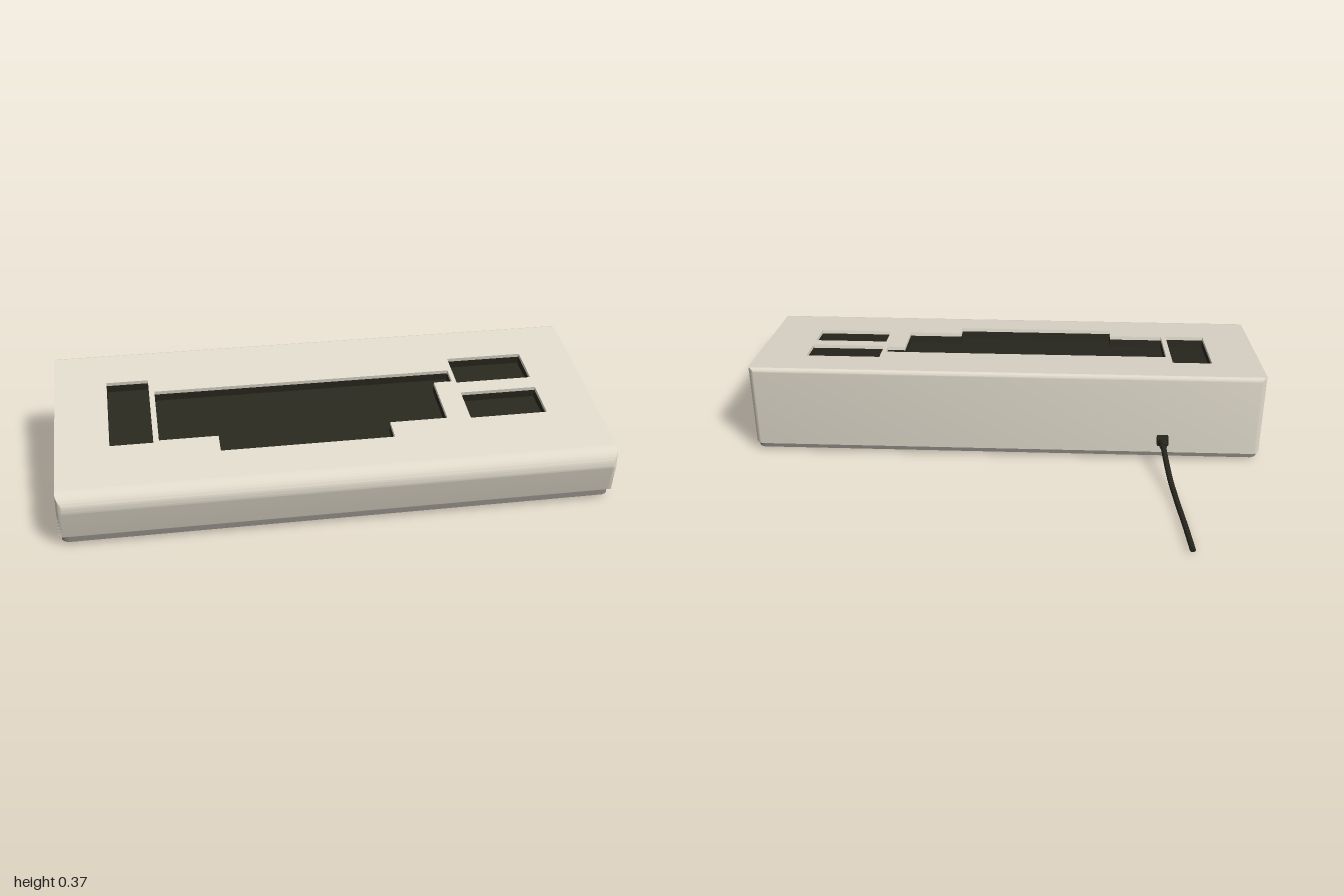
import * as THREE from 'three';
import { toCreasedNormals } from 'three/addons/utils/BufferGeometryUtils.js';

const SLOPE = 0.208, TILT = Math.atan(SLOPE);
const NOSE_Z = 0.632, NOSE_Y = 0.165, NOSE_R = 0.058;
const FRONT = NOSE_Z + NOSE_R, BACK = -0.095, BOTTOM = 0.033, CORNER = 0.03;
const BACK_R = 0.015, BACK_Z = BACK + BACK_R;
const TOP_Z = NOSE_Z + NOSE_R * Math.sin(TILT), TOP_Y = NOSE_Y + NOSE_R * Math.cos(TILT);
const topY = z => TOP_Y + SLOPE * (TOP_Z - z);

function material(name, color) {
  const m = new THREE.MeshStandardMaterial({ color });
  m.name = name;
  return m;
}

// Stations across the width, with the inset of the rounded vertical corners
function stations() {
  const right = [];
  for (let k = 0; k <= 10; k++) {
    const a = (k / 10) * Math.PI / 2;
    right.push({ x: 1 - CORNER + CORNER * Math.sin(a), inset: CORNER * (1 - Math.cos(a)) });
  }
  return [...right.map(s => ({ x: -s.x, inset: s.inset })).reverse(), ...right];
}

// Side profile as [z, y]: round nose, underside, back, up to the sloped top
function profile() {
  const pts = [];
  const a0 = Math.PI / 2 - TILT, a1 = -0.37;
  for (let i = 0; i <= 24; i++) {
    const a = a0 + (a1 - a0) * i / 24;
    pts.push([NOSE_Z + NOSE_R * Math.cos(a), NOSE_Y + NOSE_R * Math.sin(a)]);
  }
  pts.push([0.645, BOTTOM], [BACK, BOTTOM]);
  const cy = topY(BACK_Z) - BACK_R;
  for (let i = 0; i <= 5; i++) {
    const a = Math.PI - (i / 5) * Math.PI / 2;
    pts.push([BACK_Z + BACK_R * Math.cos(a), cy + BACK_R * Math.sin(a)]);
  }
  return pts;
}

// Shell open along the sloped top
function shellGeometry() {
  const base = profile();
  const rows = stations().map(({ x, inset }) => base.map(([z, y]) => {
    const cz = Math.min(Math.max(z, BACK + inset), FRONT - inset);
    return [x, Math.min(y, topY(cz)), cz];
  }));
  const pos = [];
  for (let i = 0; i < rows.length - 1; i++) {
    for (let j = 0; j < base.length - 1; j++) {
      const a = rows[i][j], b = rows[i][j + 1], c = rows[i + 1][j + 1], d = rows[i + 1][j];
      pos.push(...a, ...b, ...c, ...a, ...c, ...d);
    }
  }
  const end = rows[rows.length - 1];
  const faces = THREE.ShapeUtils.triangulateShape(end.map(p => new THREE.Vector2(-p[2], p[1])), []);
  for (const [a, b, c] of faces) {
    pos.push(...end[a], ...end[b], ...end[c]);
    pos.push(...rows[0][a], ...rows[0][c], ...rows[0][b]);
  }
  const g = new THREE.BufferGeometry();
  g.setAttribute('position', new THREE.Float32BufferAttribute(pos, 3));
  return toCreasedNormals(g, 0.5);
}

// Point on the sloped top: x and distance up the slope
const onSlope = ([x, z]) => new THREE.Vector2(x, (TOP_Z - z) / Math.cos(TILT));
const rect = (x0, x1, z0, z1) => [[x0, z0], [x0, z1], [x1, z1], [x1, z0]];

// Key openings as [x, z], all counter-clockwise on the slope
const OPENINGS = [
  rect(-0.808, -0.653, 0.084, 0.44),
  rect(0.512, 0.804, 0.084, 0.232),
  rect(0.512, 0.804, 0.293, 0.44),
  [[-0.633, 0.155], [-0.633, 0.43], [-0.42, 0.43], [-0.42, 0.51], [0.21, 0.51],
    [0.21, 0.43], [0.425, 0.43], [0.425, 0.222], [0.495, 0.222], [0.495, 0.155]],
];

function slopePlate(outline, depth, top, openings = []) {
  const shape = new THREE.Shape(outline.map(onSlope));
  // Holes run opposite to the outline so that their walls face inwards
  shape.holes = openings.map(o => new THREE.Path(o.map(onSlope).reverse()));
  const g = new THREE.ExtrudeGeometry(shape, { depth, bevelEnabled: false });
  g.translate(0, 0, -top - depth);
  g.rotateX(TILT - Math.PI / 2);
  g.translate(0, TOP_Y, TOP_Z);
  return g;
}

function roundedRect(w, h, r) {
  const s = new THREE.Shape(), x = w / 2, y = h / 2;
  s.absarc(x - r, y - r, r, 0, Math.PI / 2);
  s.absarc(-x + r, y - r, r, Math.PI / 2, Math.PI);
  s.absarc(-x + r, -y + r, r, Math.PI, Math.PI * 1.5);
  s.absarc(x - r, -y + r, r, Math.PI * 1.5, Math.PI * 2);
  return s;
}

export function createModel() {
  const model = new THREE.Group();
  model.name = 'keyboardCase';
  const beige = material('beige plastic', 0xe0dacb);
  const grey = material('grey base', 0x8a8580);
  const dark = material('dark well', 0x29281f);
  const black = material('black rubber', 0x26251d);
  const add = (name, geometry, mat, x = 0, y = 0, z = 0) => {
    const mesh = new THREE.Mesh(geometry, mat);
    mesh.name = name;
    mesh.position.set(x, y, z);
    model.add(mesh);
    return mesh;
  };

  // Case shell and its sloped top with key openings
  add('caseShell', shellGeometry(), beige);
  const backEdge = stations().map(({ x, inset }) => [x, Math.max(BACK_Z, BACK + inset)]);
  const panel = [[-1, TOP_Z], [1, TOP_Z], ...backEdge.reverse()];
  add('topPanel', slopePlate(panel, 0.014, 0, OPENINGS), beige);

  // Dark wells below the openings
  const wellOutline = rect(-0.86, 0.86, 0.04, 0.55);
  add('wellWalls', slopePlate(wellOutline, 0.03, 0.014, OPENINGS), dark);
  add('wellFloor', slopePlate(wellOutline, 0.005, 0.044), dark);

  // Base plate and feet
  const base = new THREE.ExtrudeGeometry(roundedRect(1.985, 0.735, 0.03), { depth: 0.02, bevelEnabled: false, curveSegments: 6 });
  base.rotateX(-Math.PI / 2);
  add('basePlate', toCreasedNormals(base, 0.5), grey, 0, 0.013, 0.279);
  for (const x of [-0.835, 0.835]) {
    for (const z of [0.01, 0.553]) {
      add('foot', new THREE.CylinderGeometry(0.038, 0.038, 0.016, 24), black, x, 0.008, z);
    }
  }

  // Cable with its plug
  add('cableSocket', new THREE.BoxGeometry(0.044, 0.03, 0.04), black, -0.615, 0.098, -0.108);
  const collar = new THREE.CylinderGeometry(0.018, 0.014, 0.03, 16);
  collar.rotateX(Math.PI / 2);
  add('cableCollar', collar, black, -0.615, 0.098, -0.141);
  const path = new THREE.CatmullRomCurve3([
    [-0.615, 0.098, -0.145], [-0.622, 0.075, -0.2], [-0.637, 0.037, -0.3],
    [-0.657, 0.015, -0.42], [-0.674, 0.012, -0.55], [-0.689, 0.013, -0.69],
  ].map(p => new THREE.Vector3(...p)));
  add('cable', new THREE.TubeGeometry(path, 40, 0.011, 10), black);
  const tip = new THREE.CircleGeometry(0.011, 10);
  tip.rotateY(Math.PI);
  add('cableTip', tip, black, -0.689, 0.013, -0.69);

  return model;
}
